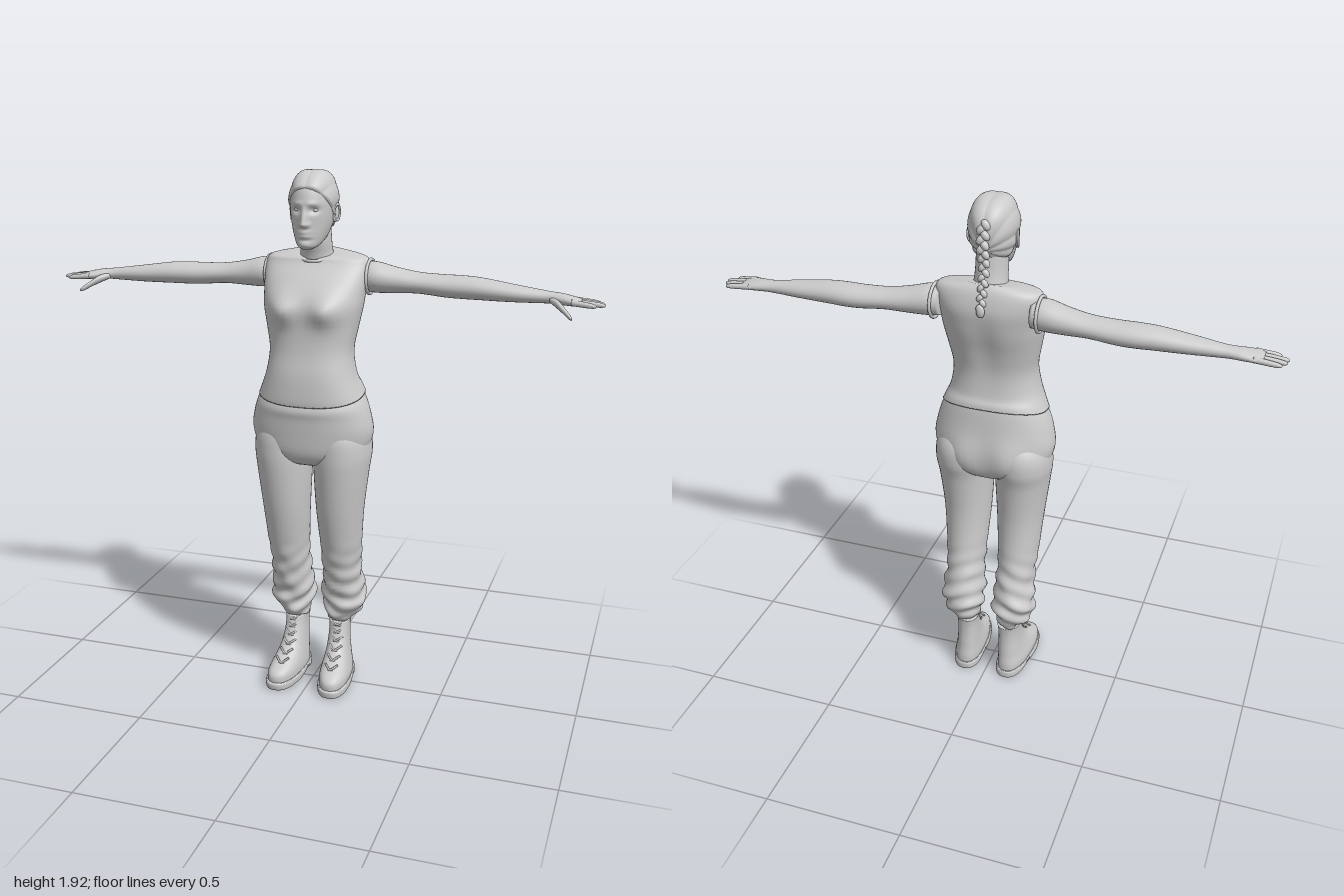
import * as THREE from 'three';

const material = new THREE.MeshStandardMaterial({ color: 0xcccccc, side: THREE.DoubleSide });
const bell = (d, width) => Math.exp(-(d * d) / (width * width));
const clamp01 = (t) => Math.min(1, Math.max(0, t));

// Smooth Catmull-Rom blend of the section rows at a fractional index
function sampleRows(rows, f) {
  const last = rows.length - 1;
  const i = Math.min(last - 1, Math.floor(f)), t = f - i;
  const row = (k) => rows[Math.min(last, Math.max(0, k))];
  const out = [];
  for (let k = 0; k < 6; k++) {
    const [a, b, c, d] = [row(i - 1), row(i), row(i + 1), row(i + 2)].map((r) => r[k] || 0);
    out.push(b + 0.5 * t * (c - a + t * (2 * a - 5 * b + 4 * c - d + t * (3 * (b - c) + d - a))));
  }
  return out;
}

// Skin through oval sections. Row: [along, centre, half size, front z, back z, tilt]
// Rows run upward on y, or sideways on x; side = -1 mirrors the part in x.
function loft(rows, { axis = 'y', side = 1, segments = 32, steps = 4, power = 2, deform } = {}) {
  const pos = [], index = [], v = new THREE.Vector3();
  const rings = (rows.length - 1) * steps + 1;
  const round = (c) => Math.sign(c) * Math.abs(c) ** (2 / power);
  const put = (along, across, z, c = 0, s = 0) => {
    if (axis === 'y') v.set(across, along, z);
    else v.set(along, across, z);
    if (deform) deform(v, c, s);
    pos.push(v.x * side, v.y, v.z);
  };
  const flip = (axis === 'x') !== (side < 0);
  const face = (a, b, c) => (flip ? index.push(a, c, b) : index.push(a, b, c));
  for (let r = 0; r < rings; r++) {
    const [t, centre, half, front, back, tilt] = sampleRows(rows, r / steps);
    for (let j = 0; j < segments; j++) {
      const a = (j / segments) * Math.PI * 2, c = Math.cos(a), s = Math.sin(a);
      put(t + tilt * s, centre + half * round(c), (front + back) / 2 + ((front - back) / 2) * round(s), c, s);
      if (r === rings - 1) continue;
      const p = r * segments + j, q = r * segments + ((j + 1) % segments);
      face(p, p + segments, q);
      face(q, p + segments, q + segments);
    }
  }
  // Close both ends
  [rows[0], rows[rows.length - 1]].forEach(([t, c, , f, b], end) => {
    put(t, c, (f + b) / 2);
    const hub = rings * segments + end, start = end ? (rings - 1) * segments : 0;
    for (let j = 0; j < segments; j++) {
      const p = start + j, q = start + ((j + 1) % segments);
      if (end) face(p, hub, q);
      else face(p, q, hub);
    }
  });
  const geometry = new THREE.BufferGeometry();
  geometry.setAttribute('position', new THREE.Float32BufferAttribute(pos, 3));
  geometry.setIndex(index);
  geometry.computeVertexNormals();
  return geometry;
}

export function createModel() {
  const model = new THREE.Group();
  const add = (name, geometry, parent = model) => {
    const mesh = new THREE.Mesh(geometry, material);
    mesh.name = name;
    parent.add(mesh);
    return mesh;
  };
  const ball = new THREE.SphereGeometry(1, 20, 14);
  const blob = (name, p, scale) => {
    const mesh = add(name, ball);
    mesh.position.set(...p);
    mesh.scale.set(...scale);
    return mesh;
  };

  // Sleeveless shirt with a sloping hem
  add('shirt', loft([
    [1.142, 0, 0.192, 0.148, -0.115, -0.03], [1.165, 0, 0.182, 0.15, -0.112, -0.025],
    [1.22, 0, 0.161, 0.145, -0.1], [1.3, 0, 0.15, 0.13, -0.095], [1.38, 0, 0.163, 0.125, -0.11],
    [1.45, 0, 0.176, 0.125, -0.13], [1.5, 0, 0.181, 0.108, -0.14], [1.55, 0, 0.187, 0.072, -0.145],
    [1.595, 0, 0.188, 0.03, -0.137], [1.62, 0, 0.17, 0.018, -0.125, -0.006], [1.632, 0, 0.09, 0.01, -0.11, -0.012],
  ], { segments: 56, power: 2.4, deform: (v, c, s) => {
    if (s > 0) v.z += 0.033 * bell(Math.abs(v.x) - 0.08, 0.05) * bell(v.y - 1.45, 0.05);
    if (s < 0) v.z += 0.01 * bell(v.x, 0.04) * bell(v.y - 1.42, 0.12);
  } }));
  const collar = add('collar', new THREE.TorusGeometry(0.062, 0.006, 8, 40));
  collar.position.set(0, 1.622, -0.043);
  collar.rotation.x = Math.PI / 2 + 0.2;
  collar.scale.y = 1.12;

  // Trouser hips
  add('trouserHips', loft([
    [0.872, 0, 0.04, 0.05, -0.06], [0.89, 0, 0.11, 0.1, -0.1], [0.93, 0, 0.195, 0.128, -0.12],
    [1.0, 0, 0.223, 0.137, -0.125], [1.07, 0, 0.214, 0.142, -0.118, -0.01],
    [1.125, 0, 0.196, 0.147, -0.11, -0.03], [1.165, 0, 0.175, 0.132, -0.1, -0.03],
  ], { segments: 56, power: 2.2, deform: (v, c, s) => {
    if (s < 0) v.z -= 0.02 * bell(Math.abs(v.x) - 0.085, 0.06) * bell(v.y - 0.97, 0.08);
  } }));

  // Neck
  add('neck', loft([
    [1.58, 0, 0.07, 0.015, -0.11], [1.63, 0, 0.058, 0.022, -0.1], [1.68, 0, 0.055, 0.038, -0.09],
    [1.76, 0, 0.052, 0.04, -0.085],
  ]));

  // Head, with brow, nose, lips and chin raised from the skin
  const headRows = [
    [1.657, 0, 0.018, 0.092, 0.055], [1.668, 0, 0.037, 0.103, 0.015], [1.695, 0, 0.054, 0.107, -0.045],
    [1.74, 0, 0.069, 0.107, -0.085], [1.78, 0, 0.076, 0.109, -0.107], [1.82, 0, 0.078, 0.108, -0.114],
    [1.86, 0, 0.073, 0.096, -0.108], [1.89, 0, 0.058, 0.071, -0.085], [1.908, 0, 0.036, 0.04, -0.05],
    [1.914, 0, 0.004, 0.004, -0.006],
  ];
  add('head', loft(headRows, { segments: 96, steps: 8, deform: (v, c, s) => {
    if (s < 0.2) return;
    const x = Math.abs(v.x), y = v.y;
    const nose = y > 1.742 ? clamp01((1.808 - y) / 0.066) : bell(y - 1.742, 0.009);
    v.z += 0.024 * nose * bell(x, 0.008 + 0.005 * nose)
      + 0.006 * bell(x - 0.014, 0.007) * bell(y - 1.74, 0.008)
      - 0.013 * bell(x - 0.031, 0.017) * bell(y - 1.79, 0.011)
      + 0.004 * bell(x - 0.025, 0.022) * bell(y - 1.812, 0.008)
      + 0.007 * bell(x, 0.02) * (bell(y - 1.715, 0.006) + bell(y - 1.702, 0.006))
      - 0.005 * bell(x, 0.024) * bell(y - 1.708, 0.003)
      - 0.004 * bell(x, 0.03) * bell(y - 1.69, 0.007)
      + 0.004 * bell(x, 0.02) * bell(y - 1.672, 0.01);
  } }));

  // Tight rows of hair; the shell sinks under the skin in front of the hairline
  const middle = new THREE.Vector3(0, 1.79, -0.01), out = new THREE.Vector3();
  add('hair', loft(headRows, { segments: 128, steps: 8, deform: (v) => {
    const mask = clamp01((0.048 + (v.y - 1.8) * 0.9 - v.z) / 0.012);
    const ridge = Math.abs(Math.sin(Math.atan2(v.x, v.y - 1.76) * 5.5));
    out.copy(v).sub(middle).normalize();
    v.addScaledVector(out, -0.012 + mask * (0.014 + 0.005 * ridge));
  } }));

  // Plait made of overlapping strands
  const plait = new THREE.CatmullRomCurve3([
    [0, 1.85, -0.112], [0, 1.78, -0.122], [0, 1.71, -0.108], [0, 1.64, -0.125], [0, 1.575, -0.146],
  ].map((p) => new THREE.Vector3(...p)));
  for (let i = 0; i < 18; i++) {
    const p = plait.getPoint(i / 17), s = i % 2 ? 1 : -1, r = 1 - 0.3 * (i / 17);
    blob('plaitStrand', [s * 0.008 * r, p.y, p.z], [0.014 * r, 0.02 * r, 0.014 * r]).rotation.z = s * 0.6;
  }
  blob('plaitTuft', [0, 1.562, -0.148], [0.015, 0.022, 0.01]);

  // Limbs and paired parts
  for (const side of [1, -1]) {
    const label = side > 0 ? 'left' : 'right';
    const limb = (name, rows, options) => add(label + name, loft(rows, { side, ...options }));

    blob(label + 'Eye', [side * 0.031, 1.79, 0.078], [0.013, 0.009, 0.013]);
    blob(label + 'Ear', [side * 0.077, 1.772, -0.004], [0.009, 0.03, 0.017]).rotation.set(-0.2, side * -0.3, 0);
    const rim = add(label + 'EarRim', new THREE.TorusGeometry(0.02, 0.004, 8, 24));
    rim.position.set(side * 0.083, 1.776, -0.006);
    rim.rotation.set(0, Math.PI / 2 - side * 0.3, 0);
    rim.scale.set(0.8, 1.35, 1);

    // Arm with palm
    limb('Arm', [
      [0.16, 1.55, 0.05, -0.02, -0.128], [0.21, 1.548, 0.054, -0.012, -0.134], [0.28, 1.54, 0.045, -0.022, -0.134],
      [0.36, 1.534, 0.037, -0.03, -0.134], [0.45, 1.528, 0.039, -0.029, -0.138], [0.51, 1.527, 0.04, -0.027, -0.138],
      [0.58, 1.525, 0.038, -0.026, -0.13], [0.68, 1.518, 0.031, -0.03, -0.117], [0.78, 1.512, 0.023, -0.042, -0.102],
      [0.82, 1.51, 0.02, -0.041, -0.1], [0.86, 1.507, 0.019, -0.028, -0.102], [0.9, 1.503, 0.015, -0.014, -0.102],
      [0.922, 1.501, 0.01, -0.018, -0.098],
    ], { axis: 'x' });
    const hem = add(label + 'ArmholeHem', new THREE.TorusGeometry(0.06, 0.006, 8, 36));
    hem.position.set(side * 0.186, 1.549, -0.073);
    hem.rotation.y = Math.PI / 2;
    hem.scale.x = 1.05;

    // Fingers: root z, tip z, tip x
    [[-0.025, -0.018, 0.972], [-0.047, -0.045, 1], [-0.068, -0.069, 0.996], [-0.09, -0.093, 0.982]].forEach(([z0, z1, x]) => {
      const row = (t, r) => {
        const z = z0 + (z1 - z0) * t;
        return [0.89 + (x - 0.89) * t, 1.504 - 0.008 * t, r, z + r, z - r];
      };
      limb('Finger', [row(0, 0.011), row(0.35, 0.01), row(0.6, 0.0095), row(0.85, 0.008), row(0.97, 0.005), row(1, 0.001)],
        { axis: 'x', segments: 14 });
    });
    limb('Thumb', [
      [0.815, 1.506, 0.01, -0.04, -0.075], [0.845, 1.496, 0.014, -0.004, -0.046], [0.87, 1.48, 0.011, 0.018, -0.013],
      [0.89, 1.466, 0.009, 0.034, 0.01], [0.9, 1.459, 0.004, 0.037, 0.026],
    ], { axis: 'x', segments: 16 });

    // Loose trouser leg, creased and gathered at the cuff
    limb('TrouserLeg', [
      [0.235, 0.085, 0.04, -0.02, -0.122], [0.252, 0.09, 0.05, -0.005, -0.133], [0.275, 0.098, 0.068, 0.01, -0.148],
      [0.31, 0.1, 0.077, 0.014, -0.155], [0.35, 0.1, 0.08, 0.02, -0.158], [0.45, 0.1, 0.071, 0.045, -0.132],
      [0.55, 0.102, 0.076, 0.07, -0.112], [0.7, 0.103, 0.087, 0.102, -0.1], [0.85, 0.108, 0.1, 0.122, -0.112],
      [0.93, 0.111, 0.106, 0.126, -0.13], [1.0, 0.108, 0.1, 0.118, -0.125], [1.07, 0.1, 0.07, 0.08, -0.08],
    ], { segments: 44, steps: 8, deform: (v, c, s) => {
      const loose = clamp01((0.6 - v.y) / 0.25);
      const fold = 0.006 * loose * Math.sin(v.y * 95 + 2.5 * c + 3 * s) + 0.003 * loose * Math.sin(v.y * 50 - 5 * c * s);
      v.x += c * fold;
      v.z += s * fold;
    } });

    // Laced boot: toes turn out a little, instep of the sole is raised
    const turn = (v) => { v.x += 0.07 * v.z; };
    const bootRows = [
      [0.02, 0.094, 0.055, 0.155, -0.132], [0.05, 0.094, 0.056, 0.156, -0.132], [0.07, 0.093, 0.053, 0.14, -0.13],
      [0.09, 0.092, 0.049, 0.1, -0.127], [0.12, 0.091, 0.044, 0.047, -0.125], [0.16, 0.09, 0.04, 0.012, -0.122],
      [0.2, 0.09, 0.039, -0.008, -0.122], [0.232, 0.09, 0.042, -0.018, -0.125],
    ];
    limb('Boot', bootRows, { power: 2.4, deform: turn });
    limb('BootSole', [
      [0, 0.094, 0.056, 0.155, -0.136], [0.004, 0.094, 0.06, 0.162, -0.139],
      [0.024, 0.094, 0.061, 0.165, -0.14], [0.03, 0.094, 0.057, 0.16, -0.136],
    ], { segments: 48, power: 2.5, deform: (v) => {
      turn(v);
      if (v.y < 0.015) v.y += 0.013 * bell(v.z + 0.03, 0.035);
    } });

    // Crossed laces climbing the front of the boot
    for (let i = 0; i < 6; i++) {
      const [y, , , z] = sampleRows(bootRows, 3 + i * 0.72);
      for (const s of [1, -1]) {
        const path = new THREE.CatmullRomCurve3([
          [s * 0.024, y - 0.008, z - 0.014], [0, y, z + 0.003], [-s * 0.024, y + 0.012, z - 0.019],
        ].map((p) => new THREE.Vector3(side * (0.09 + 0.07 * z) + p[0], p[1], p[2])));
        add(label + 'BootLace', new THREE.TubeGeometry(path, 8, 0.004, 6));
      }
    }
  }
  return model;
}
